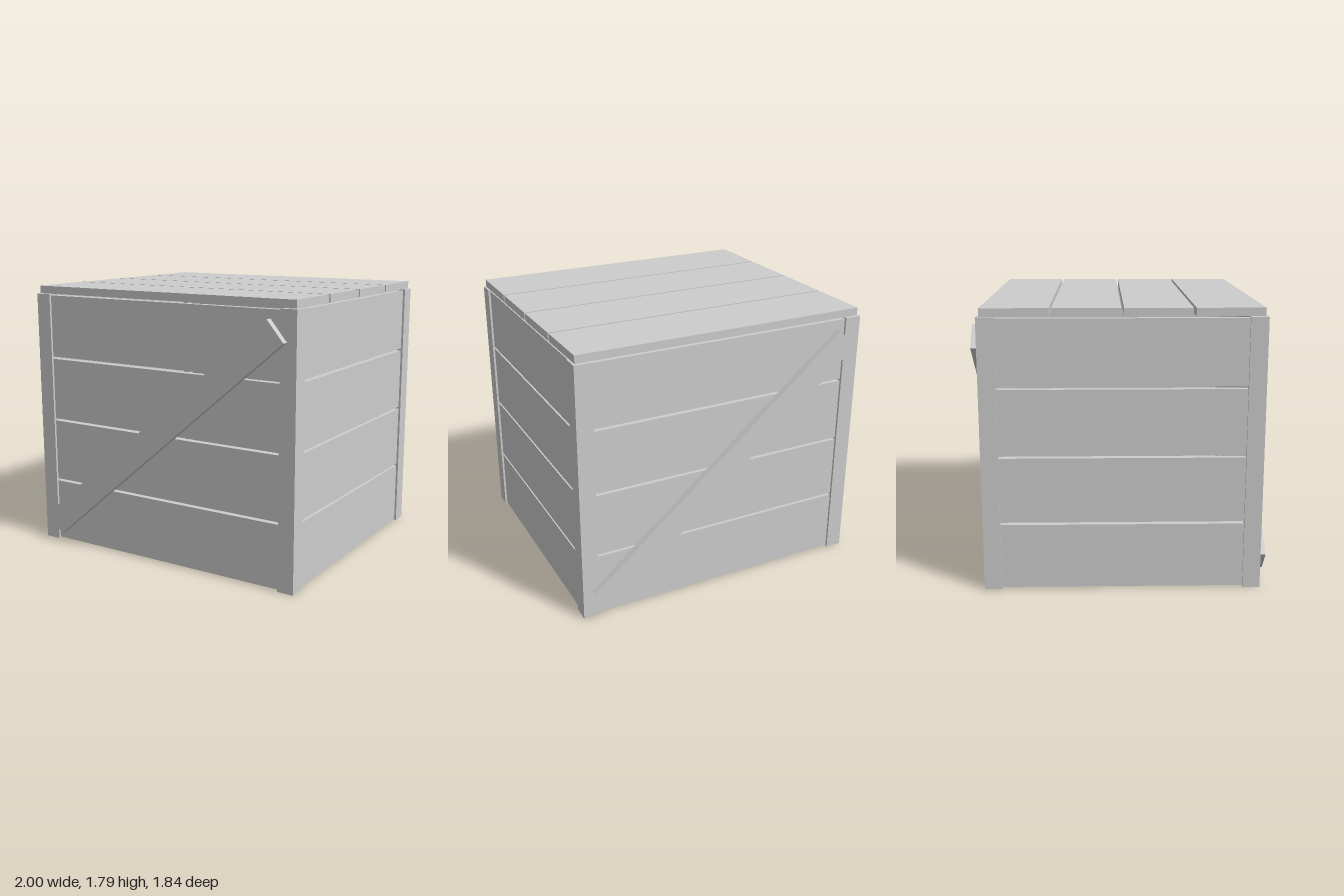
import * as THREE from 'three';

export function createModel() {
  const crate = new THREE.Group();
  crate.name = 'crate';
  const grey = new THREE.MeshStandardMaterial({ color: 0xcccccc });
  grey.name = 'plain grey';

  const board = (name, w, h, d, x, y, z) => {
    const mesh = new THREE.Mesh(new THREE.BoxGeometry(w, h, d), grey);
    mesh.name = name;
    mesh.position.set(x, y, z);
    crate.add(mesh);
    return mesh;
  };

  const plank = 0.418, pitch = 0.434, thick = 0.046;

  // Square corner posts
  for (const sx of [-1, 1])
    for (const sz of [-1, 1])
      board('cornerPost', 0.11, 1.736, 0.11, sx * 0.945, 0.868, sz * 0.823);

  // Four planks on each wall and on the lid, with open gaps; no floor
  for (let i = 0; i < 4; i++) {
    const y = 0.868 + (i - 1.5) * pitch;
    for (const s of [-1, 1]) {
      board(s > 0 ? 'frontPlank' : 'backPlank', 1.78, plank, thick, 0, y, s * 0.84);
      board(s > 0 ? 'leftPlank' : 'rightPlank', thick, plank, 1.536, s * 0.963, y, 0);
    }
    board('lidPlank', 1.974, 0.051, plank, 0, 1.764, (i - 1.5) * pitch);
  }

  // Diagonal braces, front and back
  for (const s of [-1, 1]) {
    const brace = board(s > 0 ? 'frontBrace' : 'backBrace', 2.3, 0.174, 0.045, 0, 0.868, s * 0.899);
    brace.rotation.z = s * 0.699;
  }

  return crate;
}
